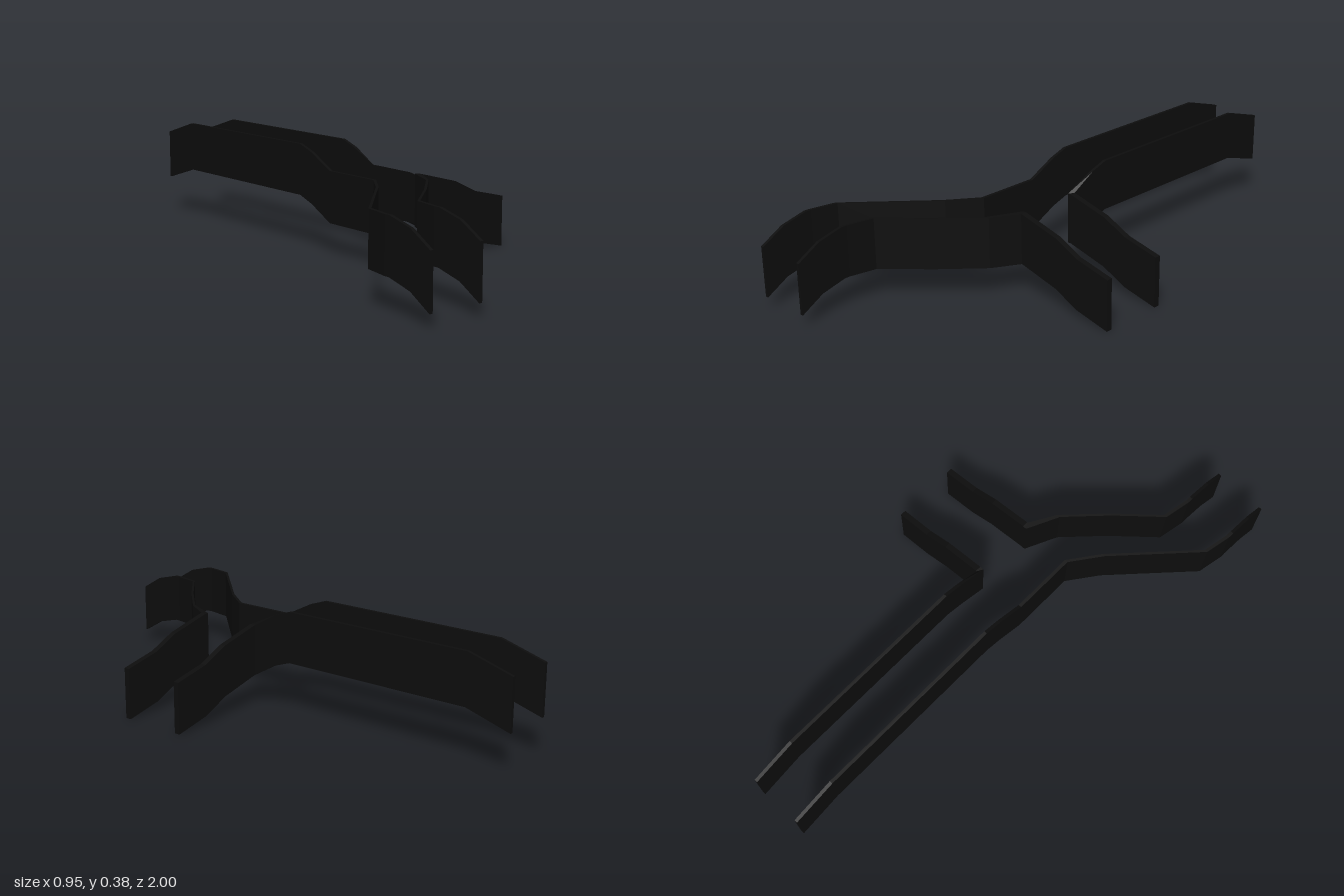
import * as THREE from 'three';

const HEIGHT = 0.187;
const TX = 0.006; // half thickness along x for the road walls
const TZ = 0.011; // half thickness along z for the branch walls

// Wall swept through stations [x, baseY, z, offsetX, offsetZ]; the offset points to the wall's inner side.
function wall(name, stations, material) {
  const rings = stations.map(([x, y, z, ox, oz]) => [
    [x - ox, y, z - oz], [x + ox, y, z + oz],
    [x + ox, y + HEIGHT, z + oz], [x - ox, y + HEIGHT, z - oz],
  ]);
  const pos = [];
  const quad = (a, b, c, d) => pos.push(...a, ...b, ...c, ...a, ...c, ...d);
  for (let i = 0; i < rings.length - 1; i++) {
    const p = rings[i], q = rings[i + 1];
    for (let k = 0; k < 4; k++) {
      const n = (k + 1) % 4;
      quad(p[k], p[n], q[n], q[k]);
    }
  }
  const s = rings[0], e = rings[rings.length - 1];
  quad(s[3], s[2], s[1], s[0]);
  quad(e[0], e[1], e[2], e[3]);
  const geo = new THREE.BufferGeometry();
  geo.setAttribute('position', new THREE.Float32BufferAttribute(pos, 3));
  geo.computeVertexNormals();
  const mesh = new THREE.Mesh(geo, material);
  mesh.name = name;
  return mesh;
}

export function createModel() {
  const group = new THREE.Group();
  group.name = 'junctionWalls';
  const black = new THREE.MeshStandardMaterial({ color: 0x0d0d0d, side: THREE.DoubleSide });
  black.name = 'black';

  // Shared slopes: raised back road, sloping front road, descending side branch
  const backRoad = (x) => [
    [-1, 0.147], [-0.83, 0.197], [-0.095, 0.197], [-0.027, 0.174],
  ].map(([z, y]) => [x, y, z, TX, 0]);
  const frontRoad = (x) => [
    [0.82, 0.12], [0.914, 0.096], [1, 0.046],
  ].map(([z, y]) => [x, y, z, TX, 0]);
  const branch = (z, oz) => [
    [0.085, 0.12], [0.242, 0.079], [0.34, 0.032], [0.476, 0],
  ].map(([x, y]) => [x, y, z, 0, oz]);
  const flat = (points) => points.map(([x, z]) => [x, 0.12, z, TX, 0]);

  // Long outer wall
  group.add(wall('outerWall', [
    ...backRoad(-0.12),
    ...flat([[-0.12, 0.08], [-0.12, 0.32], [-0.2, 0.43], [-0.453, 0.7], [-0.472, 0.8]]),
    ...frontRoad(-0.472),
  ], black));

  // Back corner wall, turning into the branch
  group.add(wall('backCornerWall', [
    ...backRoad(0.076),
    [0.076, 0.12, 0.078, TX, -TZ],
    ...branch(0.078, -TZ),
  ], black));

  // Front corner wall, from the front road into the branch
  group.add(wall('frontCornerWall', [
    ...frontRoad(-0.276).reverse(),
    ...flat([[-0.276, 0.8], [-0.257, 0.7], [-0.11, 0.565], [0.02, 0.43]]),
    [0.076, 0.12, 0.321, TX, TZ],
    ...branch(0.321, TZ),
  ], black));

  return group;
}
